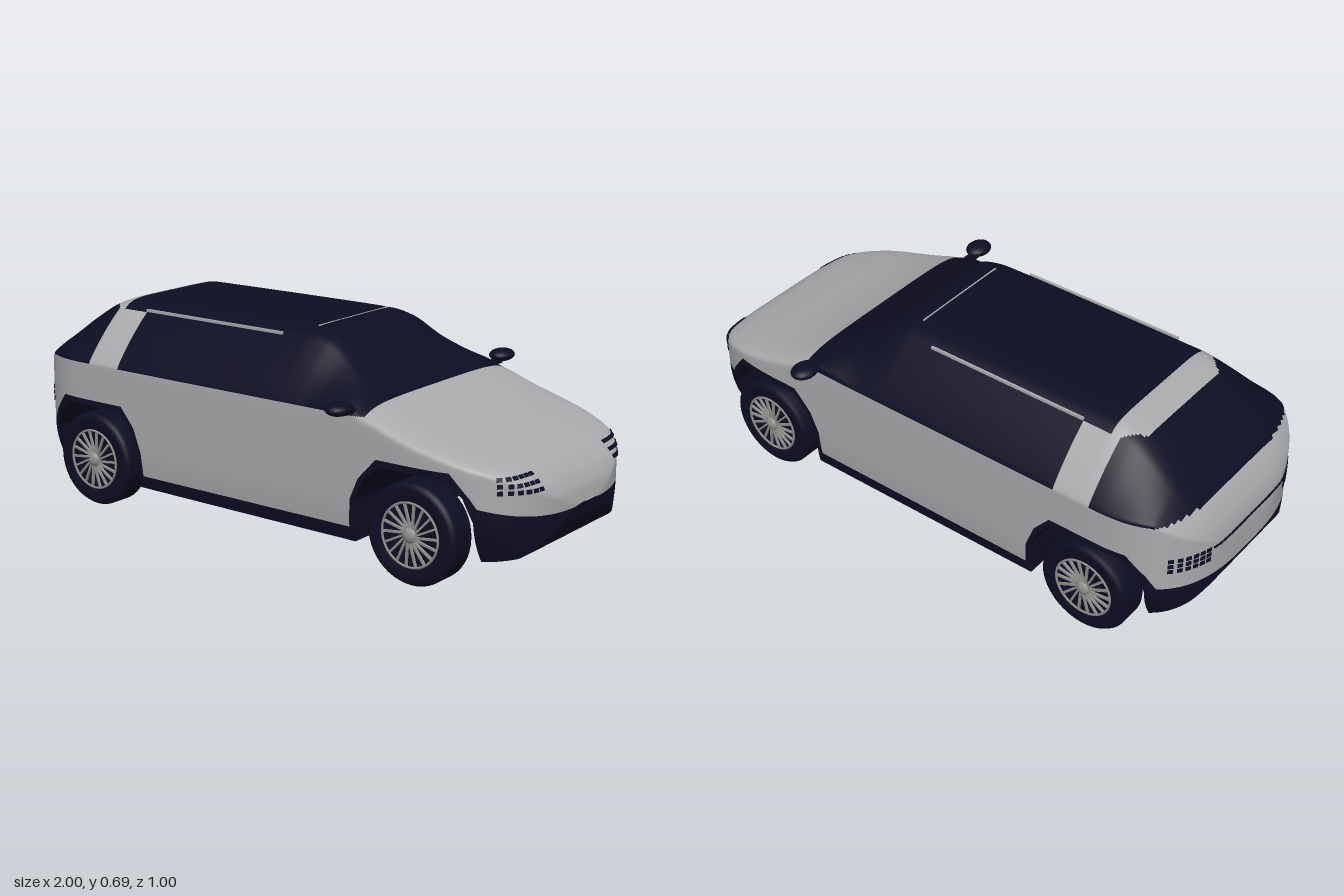
import * as THREE from 'three';
import { mergeVertices } from 'three/addons/utils/BufferGeometryUtils.js';

const paint = new THREE.MeshStandardMaterial({ name: 'silver paint', color: 0xa9aaac });
const dark = new THREE.MeshStandardMaterial({ name: 'dark navy', color: 0x0d0d23 });
const metal = new THREE.MeshStandardMaterial({ name: 'rim metal', color: 0x90908d });

// Interpolate [x, y] points, either straight or with a monotone cubic
function sample(pts, x, smooth = false) {
  const n = pts.length - 1;
  if (x <= pts[0][0]) return pts[0][1];
  if (x >= pts[n][0]) return pts[n][1];
  let i = 0;
  while (pts[i + 1][0] < x) i++;
  const slope = (j) => (pts[j + 1][1] - pts[j][1]) / (pts[j + 1][0] - pts[j][0]);
  const h = pts[i + 1][0] - pts[i][0], t = (x - pts[i][0]) / h;
  const [y0, y1] = [pts[i][1], pts[i + 1][1]];
  if (!smooth) return y0 + (y1 - y0) * t;
  const tangent = (j) => {
    if (j === 0) return slope(0);
    if (j === n) return slope(n - 1);
    const a = slope(j - 1), b = slope(j);
    return a * b <= 0 ? 0 : (2 * a * b) / (a + b);
  };
  const t2 = t * t, t3 = t2 * t;
  return y0 * (2 * t3 - 3 * t2 + 1) + y1 * (3 * t2 - 2 * t3)
    + h * (tangent(i) * (t3 - 2 * t2 + t) + tangent(i + 1) * (t3 - t2));
}

// Side profile lines: roof, bumper underside, wheel arches, upper edge of the dark cladding
const ROOF = [[-1, .25], [-.996, .34], [-.975, .42], [-.93, .49], [-.87, .55], [-.78, .622], [-.7, .67],
  [-.63, .688], [0, .691], [.13, .689], [.2, .675], [.3, .615], [.46, .52], [.6, .467], [.8, .412],
  [.9, .38], [.96, .335], [.99, .285], [1, .24]];
const BASE = [[-1, .25], [-.985, .21], [-.95, .165], [-.86, .12], [-.8, .1], [.8, .095], [.92, .11],
  [.97, .15], [.99, .19], [1, .24]];
const ARCHES = [
  [[-.86, .12], [-.859, .24], [-.83, .29], [-.78, .345], [-.54, .345], [-.49, .29], [-.46, .22], [-.459, .1]],
  [[.429, .097], [.43, .23], [.465, .3], [.525, .35], [.74, .35], [.8, .3], [.83, .23], [.831, .097]]];
const TRIM = [[-1, .25], [-.89, .25], [-.86, .3], [-.8, .365], [-.53, .365], [-.475, .3], [-.445, .22],
  [-.44, .14], [.41, .14], [.415, .23], [.445, .3], [.51, .37], [.76, .37], [.82, .3], [.84, .27], [1, .235]];

function bottom(x) {
  const arch = ARCHES.find((a) => x > a[0][0] && x < a[a.length - 1][0]);
  return arch ? sample(arch, x) : sample(BASE, x, true);
}
function halfWidth(x) {
  const t = x > 0 ? (x - .55) / .45 : (-x - .65) / .35;
  return .405 * Math.pow(Math.max(0, 1 - Math.pow(Math.max(0, t), 3)), .35);
}

// Cabin cross-section above the belt line, as fractions of width and height
const CABIN = new THREE.CatmullRomCurve3([[1, 0], [.985, .06], [.83, .45], [.655, .8], [.57, .93],
  [.46, .985], [.25, 1], [0, 1]].map(([p, q]) => new THREE.Vector3(p, q, 0)), false, 'centripetal');
const CABIN_BLEND = [[-1, .3], [-.72, 1], [.22, 1], [.5, 0]];
const TRIM_ROWS = 5, SIDE_ROWS = 14, TOP_ROWS = 32;

// Left half of one cross-section, from the lower edge to the centre of the roof
function halfSection(x) {
  const top = sample(ROOF, x, true), base = sample(BASE, x, true), w = halfWidth(x);
  const belt = Math.min(.49, base + (top - base) * .86);
  const low = Math.min(bottom(x), belt);
  const trim = Math.min(Math.max(sample(TRIM, x), low), belt);
  const tuck = Math.abs(x) > .8 ? .13 : .03;
  const side = (y) => [x, y, w * (1 - tuck * Math.max(0, (.25 - y) / .15) ** 2)];
  const pts = [];
  for (let i = 0; i < TRIM_ROWS; i++) pts.push(side(low + (trim - low) * i / TRIM_ROWS));
  for (let i = 0; i < SIDE_ROWS; i++) pts.push(side(trim + (belt - trim) * i / SIDE_ROWS));
  const k = sample(CABIN_BLEND, x, true);
  for (let i = 0; i <= TOP_ROWS; i++) {
    const t = i / TOP_ROWS, a = t * Math.PI / 2, c = CABIN.getPoint(t);
    const p = k * c.x + (1 - k) * Math.sqrt(Math.max(0, Math.cos(a)));
    const q = k * c.y + (1 - k) * Math.sqrt(Math.sin(a));
    pts.push([x, belt + (top - belt) * q, i === TOP_ROWS ? 0 : side(belt)[2] * p]);
  }
  return pts;
}

// Glass and black roof, leaving the painted rear pillar and roof band
function isGlass(x, y, z) {
  if (y < .49 || x > .46 || x < -.935) return false;
  const az = Math.abs(z);
  if (az > .255) return x < -.67 || x > -.54;
  return x > -.64 || x < -.73 + .06 * Math.max(0, (az - .19) / .065);
}

function stations() {
  const xs = [-.73, -.67, -.64, -.54, .46, ...TRIM.map((p) => p[0]), ...ARCHES.flat().map((p) => p[0])];
  for (let i = 0; i <= 225; i++) xs.push(-.9 + .008 * i);
  for (let i = 0; i < 24; i++) xs.push(1 - .1 * (i / 24) ** 2, -1 + .1 * (i / 24) ** 2);
  return xs.sort((a, b) => a - b).filter((x, i, all) => i === 0 || x - all[i - 1] > 2e-4);
}

function buildGeometry(positions, index) {
  const g = new THREE.BufferGeometry();
  g.setAttribute('position', new THREE.Float32BufferAttribute(positions, 3));
  g.setIndex(index);
  return g;
}

function createBody(group) {
  const rings = stations().map((x) => {
    const half = halfSection(x);
    return half.concat(half.slice(0, -1).reverse().map(([a, b, c]) => [a, b, -c]));
  });
  const m = rings[0].length, painted = [], darkened = [];
  for (let i = 0; i < rings.length - 1; i++) {
    for (let j = 0; j < m - 1; j++) {
      const a = i * m + j, b = a + m, c = b + 1, d = a + 1;
      const q = [rings[i][j], rings[i + 1][j], rings[i + 1][j + 1], rings[i][j + 1]];
      const mid = [0, 1, 2].map((n) => q.reduce((s, p) => s + p[n], 0) / 4);
      const cladding = j < TRIM_ROWS || j >= m - 1 - TRIM_ROWS;
      (cladding || isGlass(...mid) ? darkened : painted).push(a, b, c, a, c, d);
    }
  }
  let shell = buildGeometry(rings.flat(2), [...painted, ...darkened]);
  shell.addGroup(0, painted.length, 0);
  shell.addGroup(painted.length, darkened.length, 1);
  shell = mergeVertices(shell, 1e-5);
  shell.computeVertexNormals();
  const body = new THREE.Mesh(shell, [paint, dark]);
  body.name = 'bodyShell';

  // Floor, wheel wells and bumper undersides
  const floor = [], index = [];
  rings.forEach((r, i) => {
    floor.push(...r[0], ...r[m - 1]);
    if (i) index.push(2 * i - 2, 2 * i - 1, 2 * i + 1, 2 * i - 2, 2 * i + 1, 2 * i);
  });
  const under = buildGeometry(floor, index).toNonIndexed();
  under.computeVertexNormals();
  const underside = new THREE.Mesh(under, dark);
  underside.name = 'underside';
  group.add(body, underside);
  return body;
}

function add(parent, name, geometry, material, x = 0, y = 0, z = 0) {
  const mesh = new THREE.Mesh(geometry, material);
  mesh.name = name;
  mesh.position.set(x, y, z);
  parent.add(mesh);
  return mesh;
}

// Wheel with its outer face towards +z
function createWheel() {
  const wheel = new THREE.Group();
  const lathe = (pts) => new THREE.LatheGeometry(pts.map((p) => new THREE.Vector2(...p)), 48).rotateX(Math.PI / 2);
  add(wheel, 'tire', lathe([[.065, -.035], [.1, -.048], [.14, -.052], [.153, -.047], [.16, -.036], [.16, .036],
    [.153, .047], [.14, .052], [.105, .05], [.1, .04], [0, .036]]), dark);
  add(wheel, 'innerHub', lathe([[0, -.02], [.03, -.02], [.065, -.035]]), metal);
  add(wheel, 'rimRing', new THREE.TorusGeometry(.1, .004, 6, 48), metal, 0, 0, .05);
  add(wheel, 'hubCap', new THREE.SphereGeometry(.024, 20, 12).scale(1, 1, .55), metal, 0, 0, .05);
  for (let i = 0; i < 18; i++) {
    const spoke = new THREE.BoxGeometry(.08, .0065, .008).rotateZ(.12).translate(.06, 0, .048);
    add(wheel, 'spoke', spoke.rotateZ(i * Math.PI / 9), metal);
  }
  return wheel;
}

export function createModel() {
  const car = new THREE.Group();
  car.name = 'car';
  const body = createBody(car);

  for (const [x, end] of [[.635, 'front'], [-.662, 'rear']]) {
    for (const side of [1, -1]) {
      const wheel = createWheel();
      wheel.name = end + (side > 0 ? 'LeftWheel' : 'RightWheel');
      wheel.position.set(x, .16, side * .353);
      if (side < 0) wheel.rotation.y = Math.PI;
      car.add(wheel);
    }
  }

  // Lamp cells laid on the nose and tail
  const ray = new THREE.Raycaster();
  const cell = (name, end, y, z, width, height) => {
    ray.set(new THREE.Vector3(end * 2, y, z), new THREE.Vector3(-end, 0, 0));
    const hit = ray.intersectObject(body)[0];
    if (!hit) return;
    const plate = add(car, name, new THREE.BoxGeometry(width, height, .006), dark, ...hit.point.toArray());
    plate.lookAt(hit.point.clone().add(hit.face.normal));
  };
  for (const end of [1, -1]) for (const side of [1, -1]) for (let r = 0; r < 3; r++) for (let c = 0; c < 6; c++) {
    cell(end > 0 ? 'headlightCell' : 'taillightCell', end, .32 + r * .02, side * (.216 + c * .0225), .017, .013);
  }
  for (let i = -9; i <= 9; i++) cell('taillightBar', -1, .36, i * .021, .017, .007);

  // Mirrors and roof lines
  for (const side of [1, -1]) {
    add(car, 'mirror', new THREE.SphereGeometry(1, 24, 16).scale(.04, .021, .05), dark, .41, .519, side * .45);
    add(car, 'mirrorStalk', new THREE.BoxGeometry(.03, .012, .06), dark, .41, .502, side * .4);
    add(car, 'roofLine', new THREE.BoxGeometry(.58, .009, .008), paint, -.25, .664, side * .255);
  }
  add(car, 'windshieldLine', new THREE.BoxGeometry(.005, .004, .37), paint, .13, .688, 0);
  return car;
}
